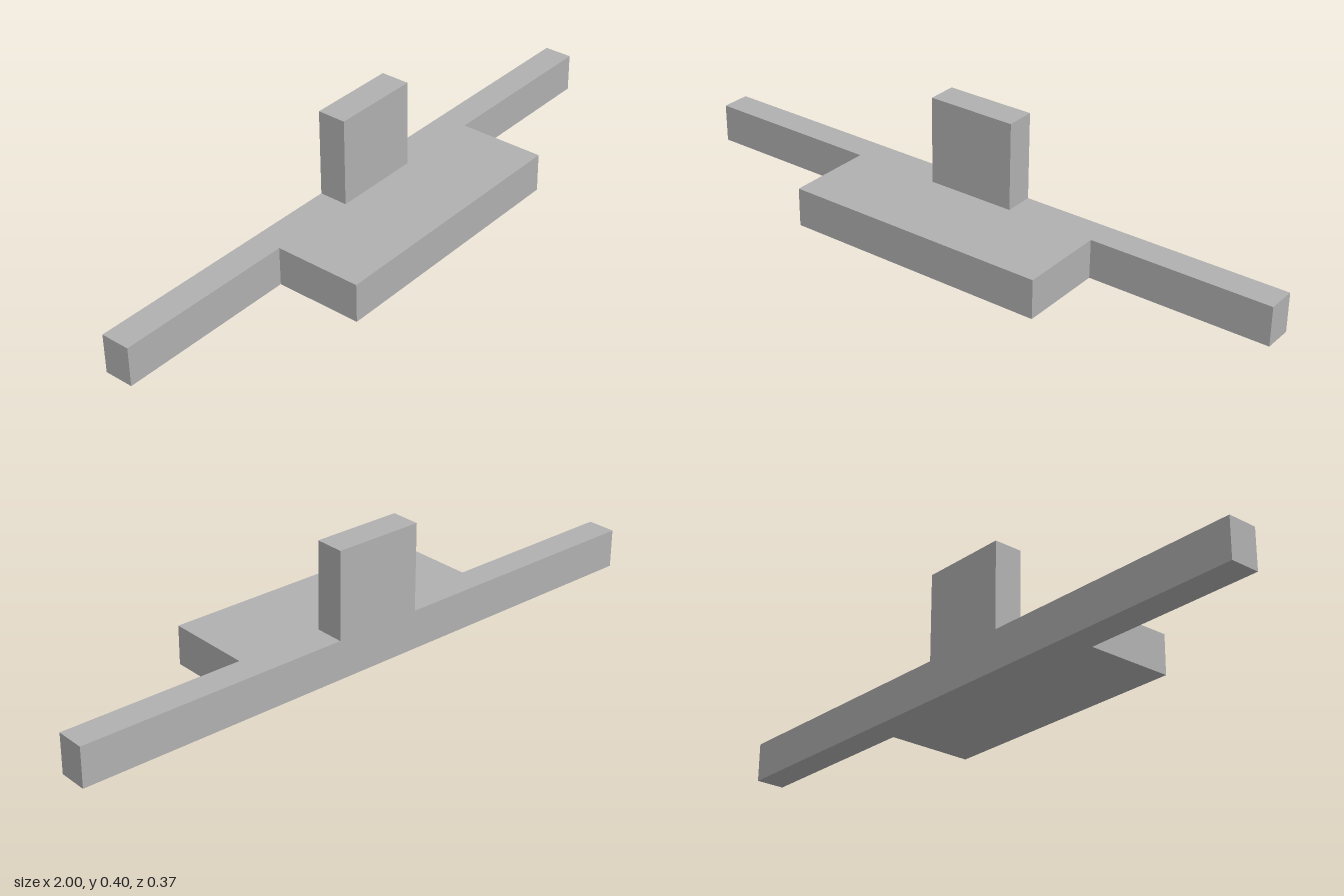
import * as THREE from 'three';

const HALF_LENGTH = 1, HALF_DEPTH = 0.185, BASE_HEIGHT = 0.123;
const HALF_PLATFORM = 0.425, BAR_FRONT = -0.093;
const TAB_WIDTH = 0.284, TAB_TOP = 0.398;

export function createModel() {
  const group = new THREE.Group();
  group.name = 'bracket';
  const grey = new THREE.MeshStandardMaterial({ color: 0xb0b0b0 });
  grey.name = 'grey';

  // T-shaped base: long rear bar with a platform reaching forward (shape y = -z)
  const plan = new THREE.Shape([
    [-HALF_LENGTH, HALF_DEPTH], [-HALF_LENGTH, -BAR_FRONT],
    [-HALF_PLATFORM, -BAR_FRONT], [-HALF_PLATFORM, -HALF_DEPTH],
    [HALF_PLATFORM, -HALF_DEPTH], [HALF_PLATFORM, -BAR_FRONT],
    [HALF_LENGTH, -BAR_FRONT], [HALF_LENGTH, HALF_DEPTH],
  ].map(([x, y]) => new THREE.Vector2(x, y)));
  const baseGeometry = new THREE.ExtrudeGeometry(plan, { depth: BASE_HEIGHT, bevelEnabled: false });
  baseGeometry.rotateX(-Math.PI / 2);
  const base = new THREE.Mesh(baseGeometry, grey);
  base.name = 'base';

  // Upright tab, flush with the back of the bar
  const tabHeight = TAB_TOP - BASE_HEIGHT;
  const tabDepth = BAR_FRONT + HALF_DEPTH;
  const tab = new THREE.Mesh(new THREE.BoxGeometry(TAB_WIDTH, tabHeight, tabDepth), grey);
  tab.position.set(0, BASE_HEIGHT + tabHeight / 2, -HALF_DEPTH + tabDepth / 2);
  tab.name = 'uprightTab';

  group.add(base, tab);
  return group;
}
